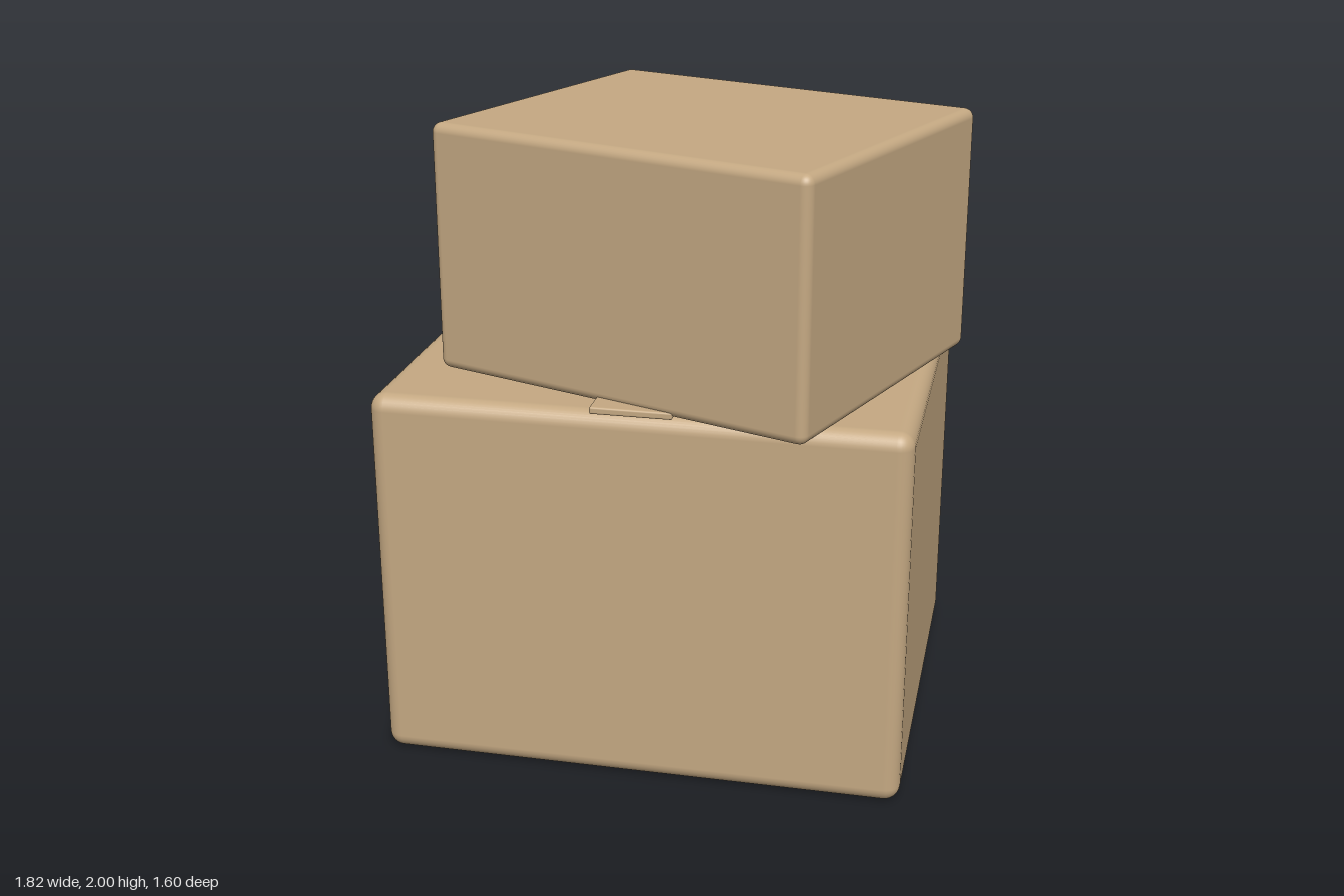
import * as THREE from 'three';
import { RoundedBoxGeometry } from 'three/addons/geometries/RoundedBoxGeometry.js';

export function createModel() {
  const model = new THREE.Group();
  const cardboard = new THREE.MeshStandardMaterial({ color: 0xc4a882 });
  cardboard.name = 'cardboard';

  // Rounded block standing on height y
  const addBlock = (parent, name, [w, h, d], radius, [x, y, z]) => {
    const mesh = new THREE.Mesh(new RoundedBoxGeometry(w, h, d, 4, radius), cardboard);
    mesh.name = name;
    mesh.position.set(x, y + h / 2, z);
    parent.add(mesh);
    return mesh;
  };

  // Large box with its tape and label, turned together
  const lower = new THREE.Group();
  lower.name = 'lowerStack';
  lower.rotation.y = 0.14;
  model.add(lower);
  addBlock(lower, 'lowerBox', [1.655, 1.215, 1.397], 0.05, [0, 0, 0]);
  addBlock(lower, 'tapeStrip', [0.25, 0.022, 1.44], 0.006, [0, 1.22, 0]);
  addBlock(lower, 'topLabel', [0.38, 0.012, 0.3], 0.003, [-0.28, 1.211, -0.23]);

  // Smaller box, turned the other way
  const upper = addBlock(model, 'upperBox', [1.295, 0.775, 1.08], 0.03, [0.13, 1.225, 0.127]);
  upper.rotation.y = -0.21;

  return model;
}
